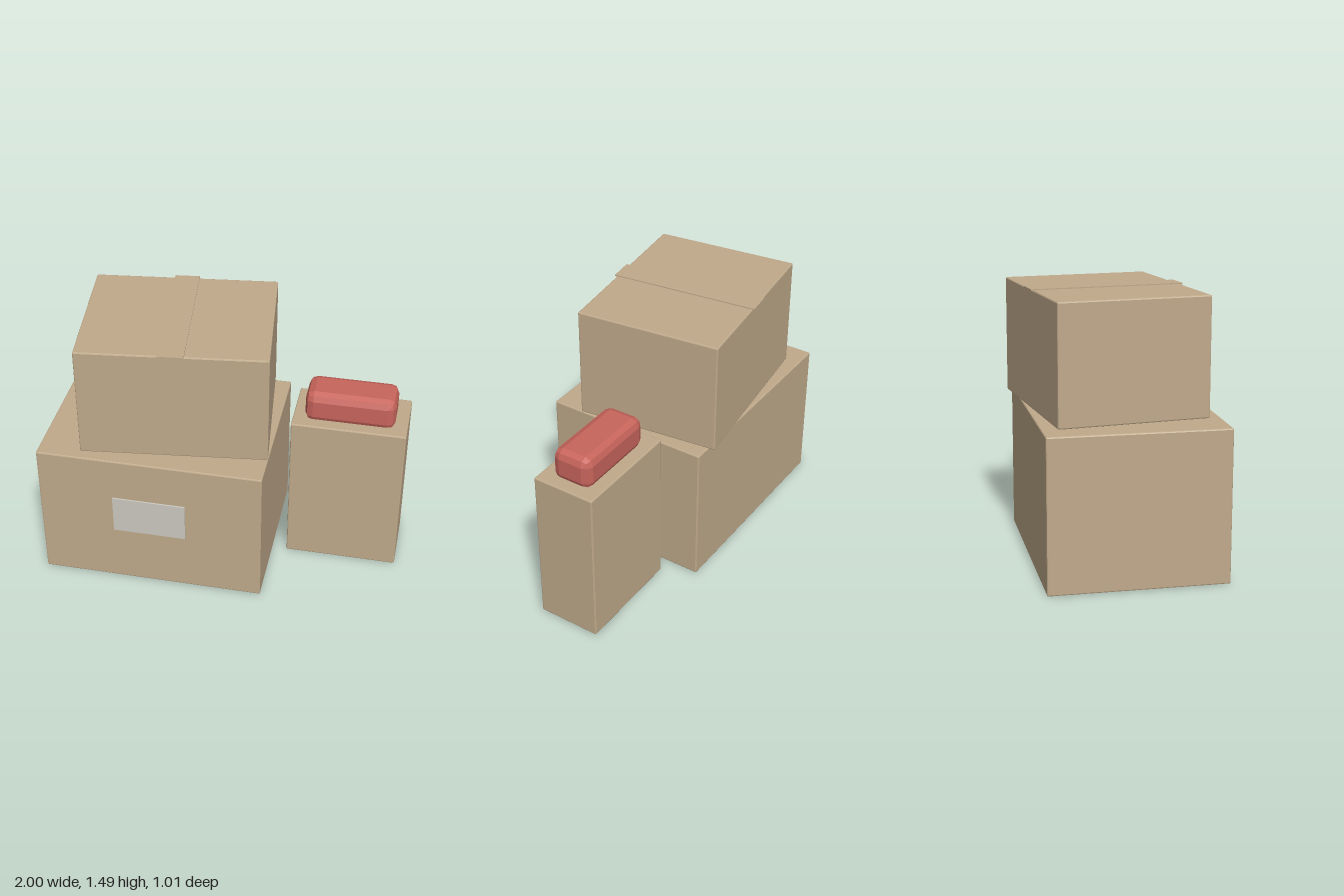
import * as THREE from 'three';
import { RoundedBoxGeometry } from 'three/addons/geometries/RoundedBoxGeometry.js';

export function createModel() {
  const model = new THREE.Group();
  model.name = 'stackedBoxes';

  const material = (name, color) => {
    const m = new THREE.MeshStandardMaterial({ color });
    m.name = name;
    return m;
  };
  const cardboard = material('cardboard', 0xc0aa8b);
  const red = material('red', 0xc8655c);
  const paper = material('paper', 0xccc9c0);

  const add = (parent, name, geometry, mat, x, y, z) => {
    const mesh = new THREE.Mesh(geometry, mat);
    mesh.name = name;
    mesh.position.set(x, y, z);
    parent.add(mesh);
    return mesh;
  };
  // Box with faceted bevels along its edges
  const bevelBox = (w, h, d, r) => {
    const g = new RoundedBoxGeometry(w, h, d, 1, r);
    g.computeVertexNormals();
    return g;
  };

  // Large box with a paper label on the front
  add(model, 'largeBox', bevelBox(1.27, 0.832, 0.966, 0.007), cardboard, -0.365, 0.416, 0.012);
  add(model, 'label', new THREE.BoxGeometry(0.414, 0.228, 0.009), paper, -0.367, 0.465, 0.4995);

  // Medium box, turned slightly, with a strip of tape overhanging both ends
  const medium = new THREE.Group();
  medium.name = 'mediumBoxGroup';
  medium.position.set(-0.295, 0, -0.037);
  medium.rotation.y = 0.12;
  model.add(medium);
  add(medium, 'mediumBox', bevelBox(1.038, 0.648, 0.828, 0.007), cardboard, 0, 1.156, 0);
  add(medium, 'tape', new THREE.BoxGeometry(0.14, 0.009, 0.852), cardboard, 0, 1.4815, 0);

  // Tall narrow box
  add(model, 'tallBox', bevelBox(0.642, 0.925, 0.365, 0.007), cardboard, 0.676, 0.4625, -0.103);

  // Red case resting on the tall box
  add(model, 'redCase', bevelBox(0.505, 0.19, 0.232, 0.046), red, 0.673, 0.995, -0.1);

  return model;
}
